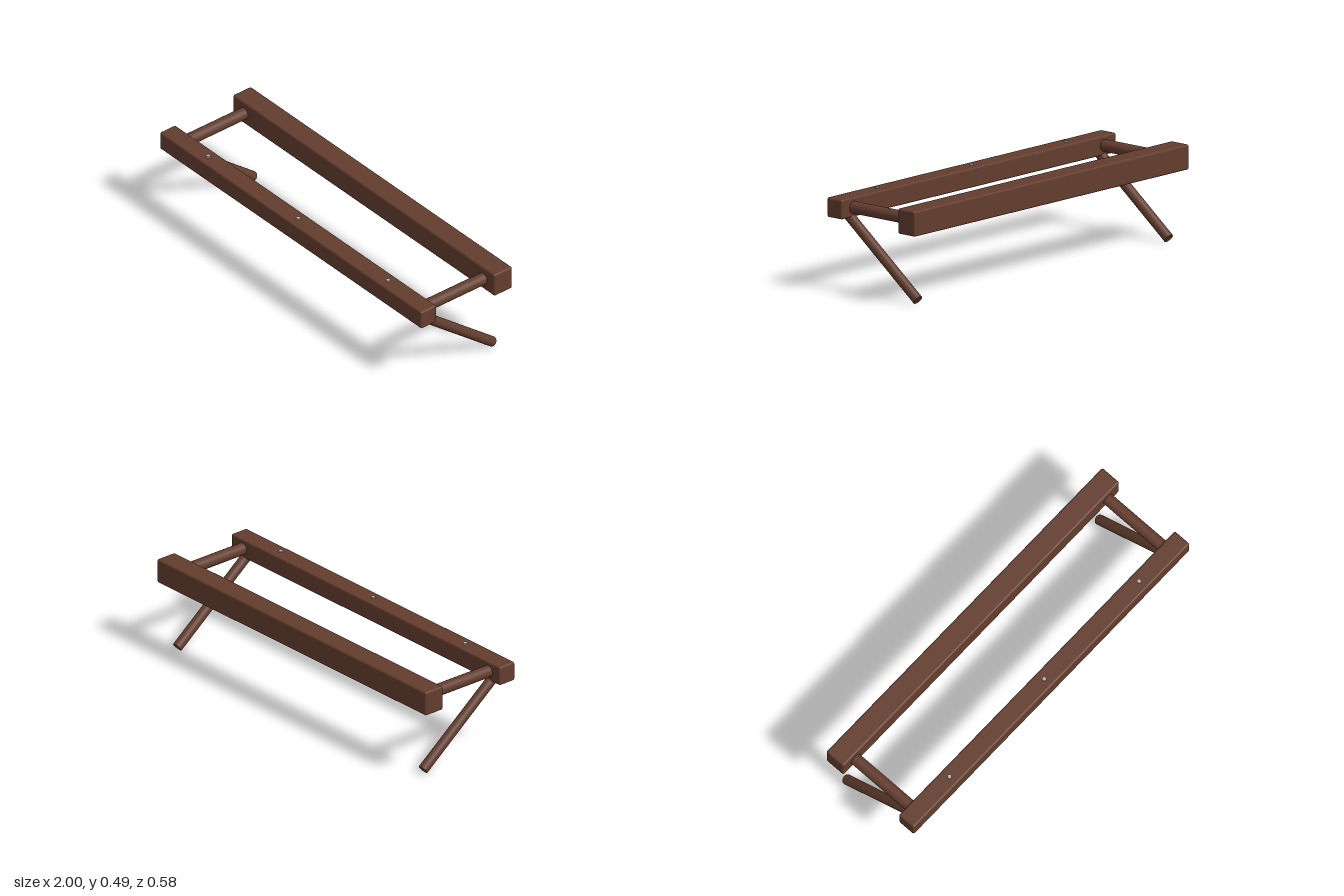
import * as THREE from 'three';
import { RoundedBoxGeometry } from 'three/addons/geometries/RoundedBoxGeometry.js';

export function createModel() {
  const model = new THREE.Group();
  model.name = 'lowBarFrame';
  const wood = new THREE.MeshStandardMaterial({ color: 0x633d2e });
  wood.name = 'brown wood';
  const steel = new THREE.MeshStandardMaterial({ color: 0xb4b4b4 });
  steel.name = 'grey steel';

  const add = (name, geometry, material, x, y, z) => {
    const mesh = new THREE.Mesh(geometry, material);
    mesh.name = name;
    mesh.position.set(x, y, z);
    model.add(mesh);
    return mesh;
  };

  // Round bar between two points given as [z, y] at a fixed x
  const bar = (name, x, [z0, y0], [z1, y1], radius) => {
    const dir = new THREE.Vector3(0, y1 - y0, z1 - z0);
    const geometry = new THREE.CylinderGeometry(radius, radius, dir.length(), 32);
    const mesh = add(name, geometry, wood, x, (y0 + y1) / 2, (z0 + z1) / 2);
    mesh.quaternion.setFromUnitVectors(new THREE.Vector3(0, 1, 0), dir.normalize());
  };

  // Long beams with softened edges
  add('frontBeam', new RoundedBoxGeometry(2, 0.099, 0.099, 4, 0.01), wood, 0, 0.4225, 0.2405);
  add('backBeam', new RoundedBoxGeometry(2, 0.127, 0.114, 4, 0.01), wood, 0, 0.4235, -0.232);

  // Cross rails and slanted legs at both ends
  for (const [side, s] of [['left', 1], ['right', -1]]) {
    bar(side + 'Rail', s * 0.914, [-0.22, 0.4225], [0.23, 0.4225], 0.0305);
    bar(side + 'Leg', s * 0.914, [-0.2315, 0.0215], [0.233, 0.386], 0.026);
  }

  // Bolts passing through the front beam
  const boltGeometry = new THREE.CylinderGeometry(0.011, 0.011, 0.113, 12);
  for (const x of [-0.687, 0, 0.687]) add('bolt', boltGeometry, steel, x, 0.4225, 0.2405);

  return model;
}
